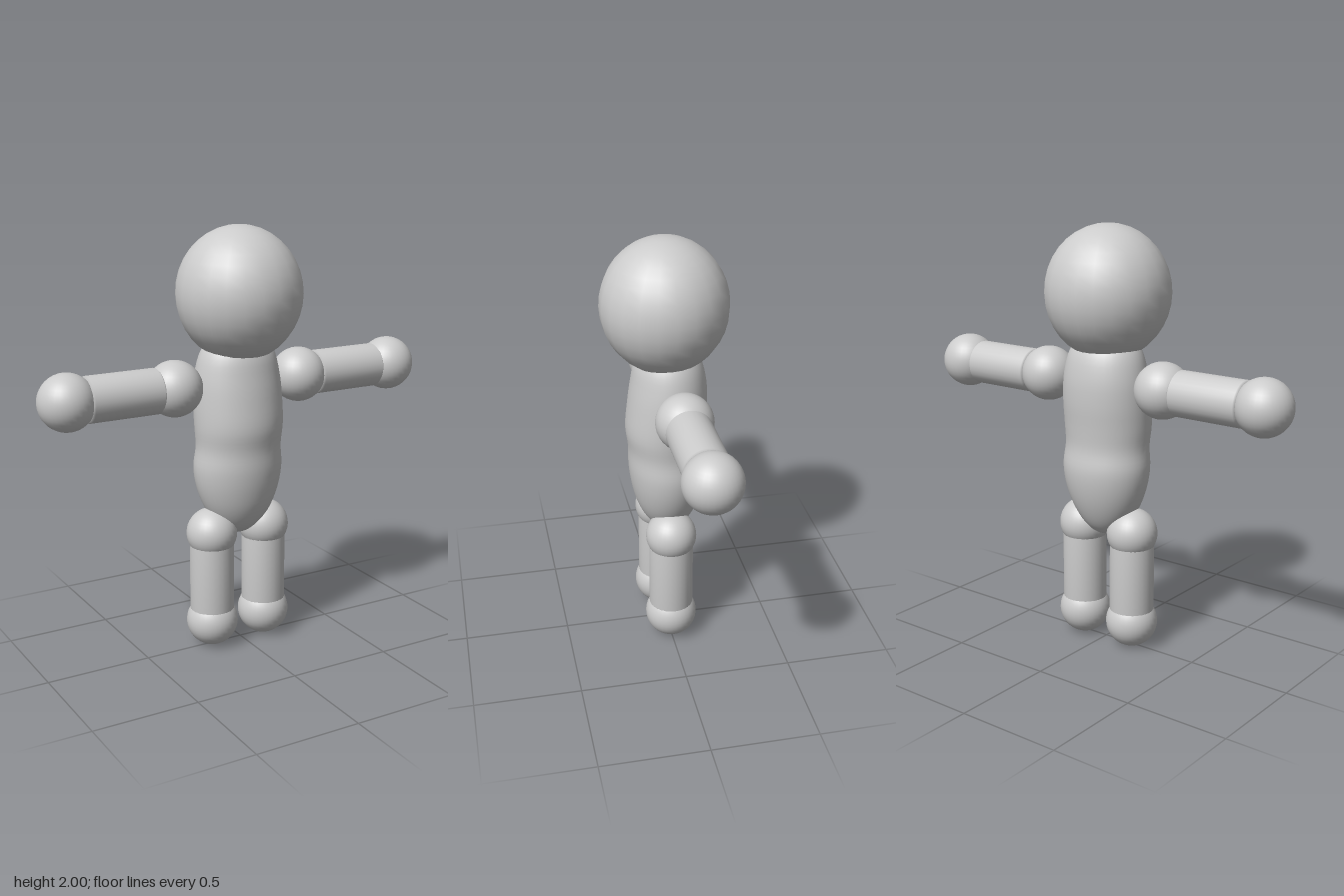
import * as THREE from 'three';

const material = new THREE.MeshStandardMaterial({ color: 0xcccccc });

function add(parent, name, geometry, x, y, z) {
  const mesh = new THREE.Mesh(geometry, material);
  mesh.name = name;
  mesh.position.set(x, y, z);
  parent.add(mesh);
  return mesh;
}

const ball = (r) => new THREE.SphereGeometry(r, 32, 20);

// Closed cylinder with a small bevel at both ends
function limbGeometry(r, length, bevel) {
  const h = length / 2;
  const profile = [[0, -h], [r - bevel, -h], [r, -h + bevel], [r, h - bevel], [r - bevel, h], [0, h]];
  return new THREE.LatheGeometry(profile.map(([a, b]) => new THREE.Vector2(a, b)), 28);
}

// Torso: elliptical rings [y, half width, front z, back z], smoothed along the height
function torsoGeometry() {
  const rings = [
    [0.54, 0.002, -0.018, -0.022], [0.555, 0.06, 0.03, -0.065], [0.6, 0.112, 0.085, -0.11],
    [0.68, 0.165, 0.13, -0.152], [0.78, 0.202, 0.158, -0.182], [0.88, 0.216, 0.171, -0.193],
    [0.98, 0.207, 0.172, -0.18], [1.08, 0.214, 0.184, -0.184], [1.2, 0.215, 0.174, -0.193],
    [1.32, 0.205, 0.157, -0.189], [1.43, 0.173, 0.133, -0.16], [1.5, 0.11, 0.08, -0.1],
    [1.53, 0.002, -0.005, -0.01],
  ];
  const sides = new THREE.CatmullRomCurve3(rings.map(([y, w]) => new THREE.Vector3(w, y, 0)));
  const depths = new THREE.CatmullRomCurve3(rings.map(([y, , f, b]) => new THREE.Vector3((f + b) / 2, y, (f - b) / 2)));
  const rows = 48, cols = 36;
  const geometry = new THREE.CylinderGeometry(1, 1, 1, cols, rows, true);
  const p = geometry.attributes.position;
  for (let i = 0; i < p.count; i++) {
    const t = p.getY(i) + 0.5;
    const s = sides.getPoint(t);
    const d = depths.getPoint(t);
    p.setXYZ(i, p.getX(i) * Math.max(s.x, 0.001), s.y, d.x + p.getZ(i) * Math.max(d.z, 0.001));
  }
  geometry.computeVertexNormals();
  // Match the normals across the seam
  const n = geometry.attributes.normal;
  for (let r = 0; r <= rows; r++) {
    const a = r * (cols + 1), b = a + cols;
    const v = new THREE.Vector3().fromBufferAttribute(n, a)
      .add(new THREE.Vector3().fromBufferAttribute(n, b)).normalize();
    n.setXYZ(a, v.x, v.y, v.z);
    n.setXYZ(b, v.x, v.y, v.z);
  }
  return geometry;
}

export function createModel() {
  const model = new THREE.Group();
  model.name = 'figure';

  // Slightly tall head
  const head = add(model, 'head', new THREE.SphereGeometry(0.292, 22, 18), -0.006, 1.69, 0.002);
  head.scale.y = 0.31 / 0.292;

  add(model, 'torso', torsoGeometry(), -0.008, 0, 0);

  for (const side of [1, -1]) {
    const label = side > 0 ? 'left' : 'right';

    // Arm stretched sideways
    const arm = new THREE.Group();
    arm.name = label + 'Arm';
    arm.position.set(0, side > 0 ? 1.275 : 1.28, -0.02);
    add(arm, label + 'Shoulder', ball(0.13), side * 0.33, 0, 0);
    add(arm, label + 'Forearm', limbGeometry(0.105, 0.36, 0.015), side * 0.59, 0, 0).rotation.z = Math.PI / 2;
    add(arm, label + 'Hand', ball(0.13), side * 0.85, 0, 0);
    model.add(arm);

    // Straight leg
    const leg = new THREE.Group();
    leg.name = label + 'Leg';
    leg.position.set(side > 0 ? 0.13 : -0.153, 0, -0.003);
    add(leg, label + 'Hip', ball(0.12), 0, 0.565, 0);
    add(leg, label + 'Shin', limbGeometry(0.105, 0.36, 0.015), 0, 0.35, 0);
    add(leg, label + 'Foot', ball(0.123), 0, 0.123, 0);
    model.add(leg);
  }
  return model;
}
